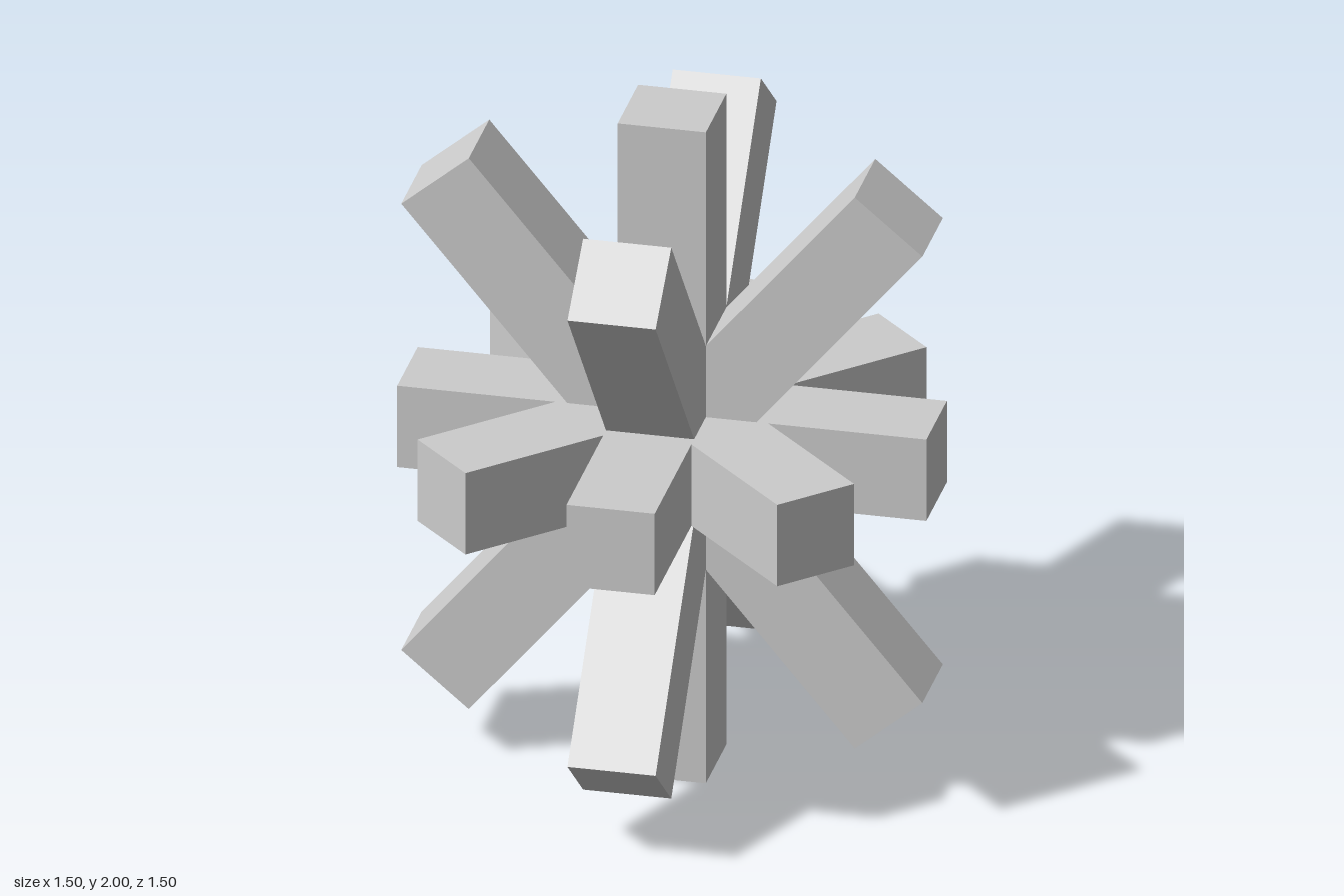
import * as THREE from 'three';

const WIDTH = 0.25;
const TILT = THREE.MathUtils.degToRad(40);

export function createModel() {
  const model = new THREE.Group();
  model.name = 'starBurst';
  const material = new THREE.MeshStandardMaterial({ color: 0xcccccc, flatShading: true });

  // Square bar running through the shared centre
  function addBar(name, length, rx = 0, ry = 0, rz = 0) {
    const bar = new THREE.Mesh(new THREE.BoxGeometry(WIDTH, length, WIDTH), material);
    bar.name = name;
    bar.position.y = 1;
    bar.rotation.set(rx, ry, rz, 'YXZ');
    model.add(bar);
  }

  // Upright bar
  addBar('uprightBar', 2);

  // Shorter level bars, every 45 degrees around the centre
  for (let i = 0; i < 4; i++) {
    addBar(`levelBar${i + 1}`, 1.5, 0, i * Math.PI / 4, Math.PI / 2);
  }

  // Tilted bars, crossing in pairs sideways and front to back
  for (const side of [-1, 1]) {
    const suffix = side < 0 ? 'A' : 'B';
    addBar(`sidewaysTiltedBar${suffix}`, 2, 0, 0, side * TILT);
    addBar(`frontBackTiltedBar${suffix}`, 2, side * TILT, 0, 0);
  }

  return model;
}
